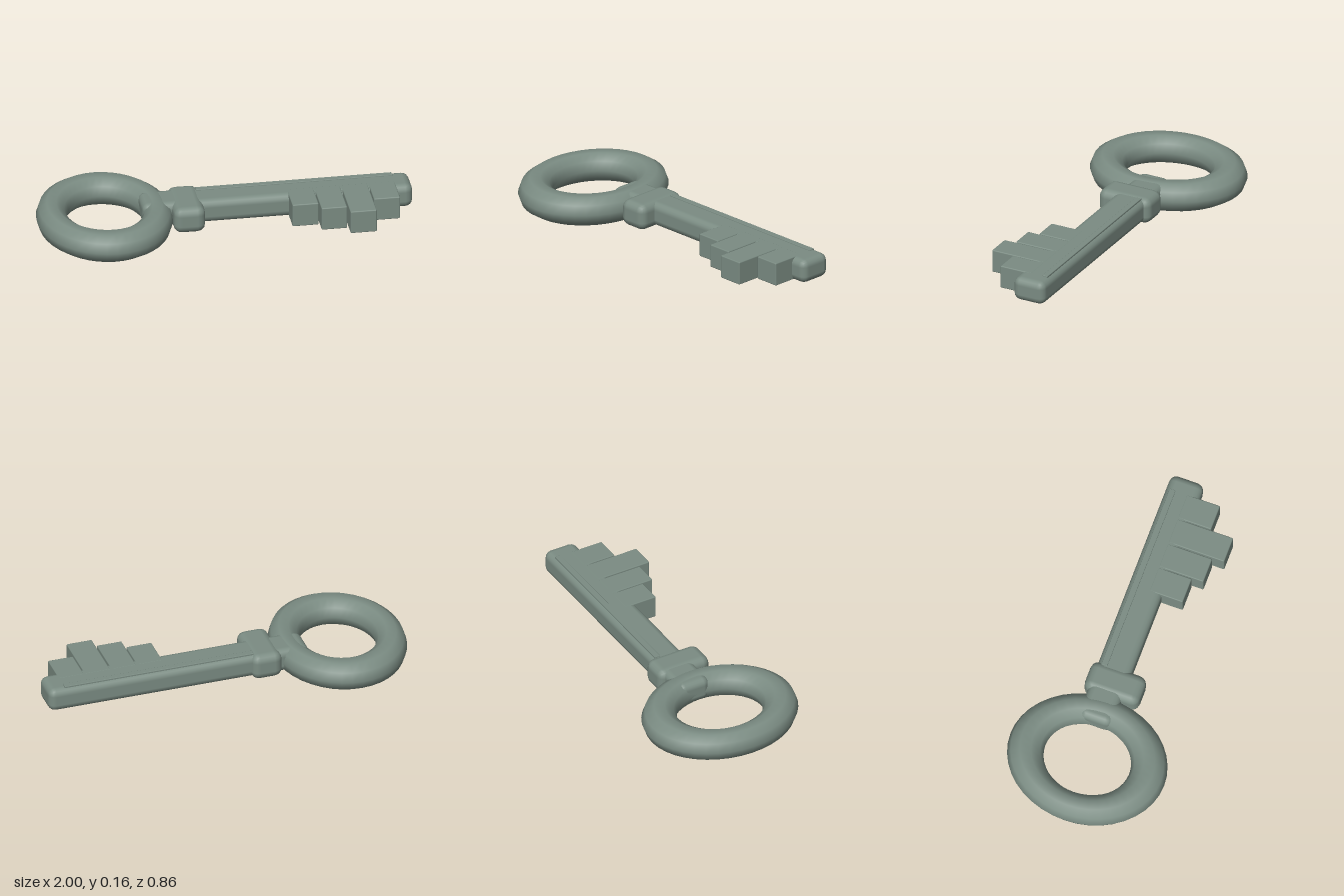
import * as THREE from 'three';
import { RoundedBoxGeometry } from 'three/addons/geometries/RoundedBoxGeometry.js';

export function createModel() {
  const key = new THREE.Group();
  key.name = 'key';
  const metal = new THREE.MeshStandardMaterial({ color: 0x7b8c83 });
  metal.name = 'greyGreenMetal';

  // Rounded box given by its extents on each axis
  function block(name, [x0, x1], [y0, y1], [z0, z1], radius, segments = 2) {
    const geometry = new RoundedBoxGeometry(x1 - x0, y1 - y0, z1 - z0, segments, radius);
    const mesh = new THREE.Mesh(geometry, metal);
    mesh.position.set((x0 + x1) / 2, (y0 + y1) / 2, (z0 + z1) / 2);
    mesh.name = name;
    key.add(mesh);
  }

  // Oval grip ring lying flat, ten-sided tube
  const ringGeometry = new THREE.TorusGeometry(0.333, 0.098, 10, 40);
  ringGeometry.rotateX(-Math.PI / 2);
  ringGeometry.scale(0.836, 0.855, 1);
  const ring = new THREE.Mesh(ringGeometry, metal);
  ring.name = 'gripRing';
  ring.position.set(-0.64, 0.08, 0);
  key.add(ring);

  // Shaft passing through the collar into the ring
  block('shaft', [-0.445, 1], [0.025, 0.157], [-0.127, 0.06], 0.04);
  block('collar', [-0.29, -0.12], [0.016, 0.162], [-0.157, 0.152], 0.045);

  // Raised rib along the top of the shaft
  block('rib', [-0.14, 0.91], [0.13, 0.162], [-0.105, -0.072], 0.003, 1);

  // Teeth of varying length
  const teeth = [[0.335, 0.475, 0.178], [0.48, 0.617, 0.241], [0.624, 0.765, 0.305], [0.77, 0.91, 0.178]];
  teeth.forEach(([x0, x1, reach], i) => {
    block(`tooth${i + 1}`, [x0, x1], [0.03, 0.158], [-0.01, reach], 0.006, 1);
  });

  return key;
}
